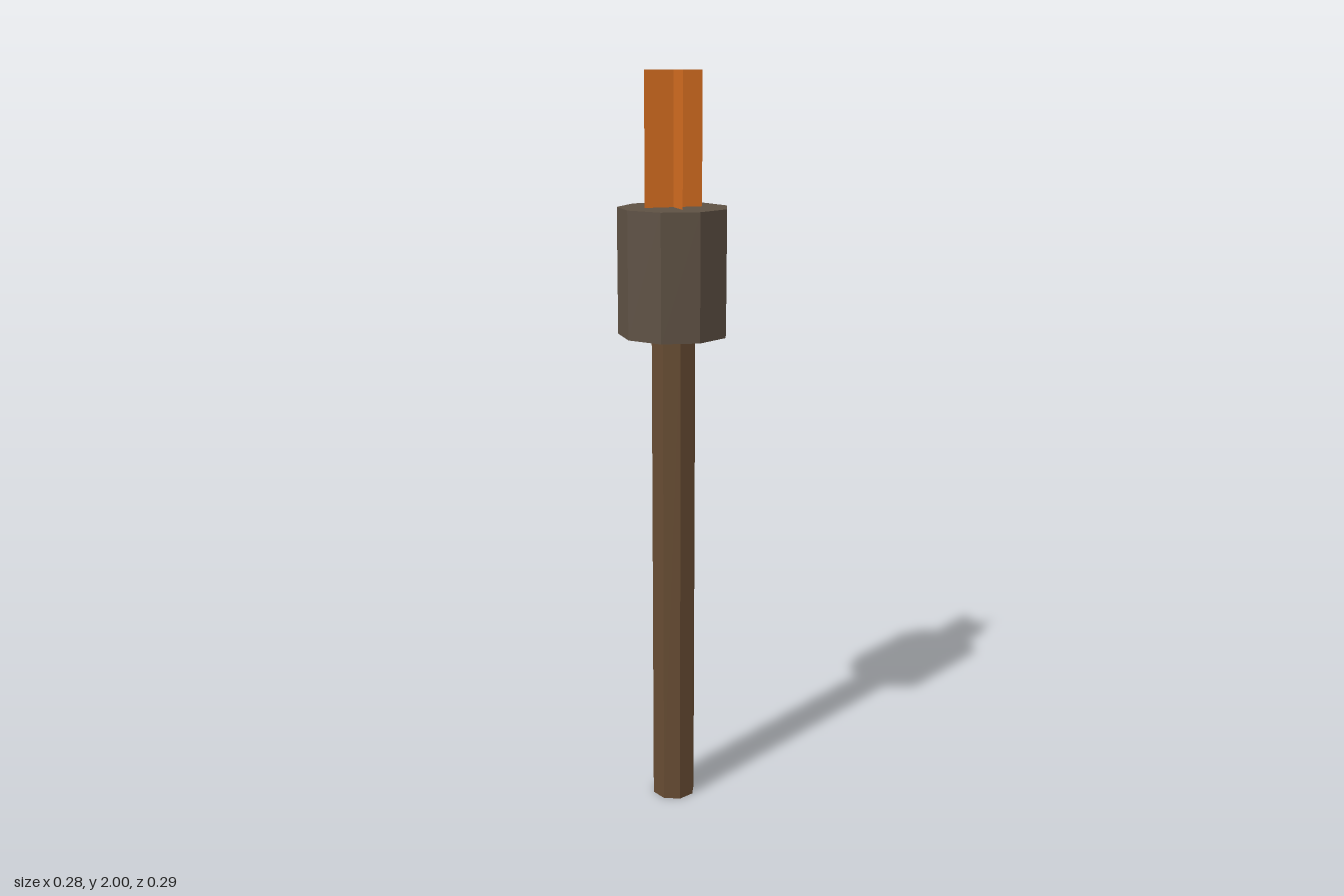
import * as THREE from 'three';

export function createModel() {
  const group = new THREE.Group();
  group.name = 'torch';

  const material = (name, color, extra = {}) =>
    new THREE.MeshStandardMaterial({ name, color, flatShading: true, ...extra });
  const wood = material('brown wood', 0x664b32);
  const wrap = material('dark wrapping', 0x5e5144);
  const fire = material('orange flame', 0xd26c20, { side: THREE.DoubleSide });

  const axisX = -0.005; // the torch axis sits slightly off centre
  const add = (name, geometry, mat, y) => {
    const mesh = new THREE.Mesh(geometry, mat);
    mesh.name = name;
    mesh.position.set(axisX, y, 0);
    group.add(mesh);
    return mesh;
  };

  // Upright prism with one corner pointing to +x
  const prism = (radius, height, sides) =>
    new THREE.CylinderGeometry(radius, radius, height, sides, 1, false, Math.PI / 2);

  // Eight-sided handle and nine-sided head
  add('handle', prism(0.06, 1.33, 8), wood, 0.665);
  add('head', prism(0.146, 0.33, 9), wrap, 1.495);

  // Two crossed flat sheets form the flame
  ['flameAcross', 'flameAlong'].forEach((name, i) => {
    add(name, new THREE.PlaneGeometry(0.154, 0.34), fire, 1.83).rotation.y = i * Math.PI / 2;
  });

  return group;
}
